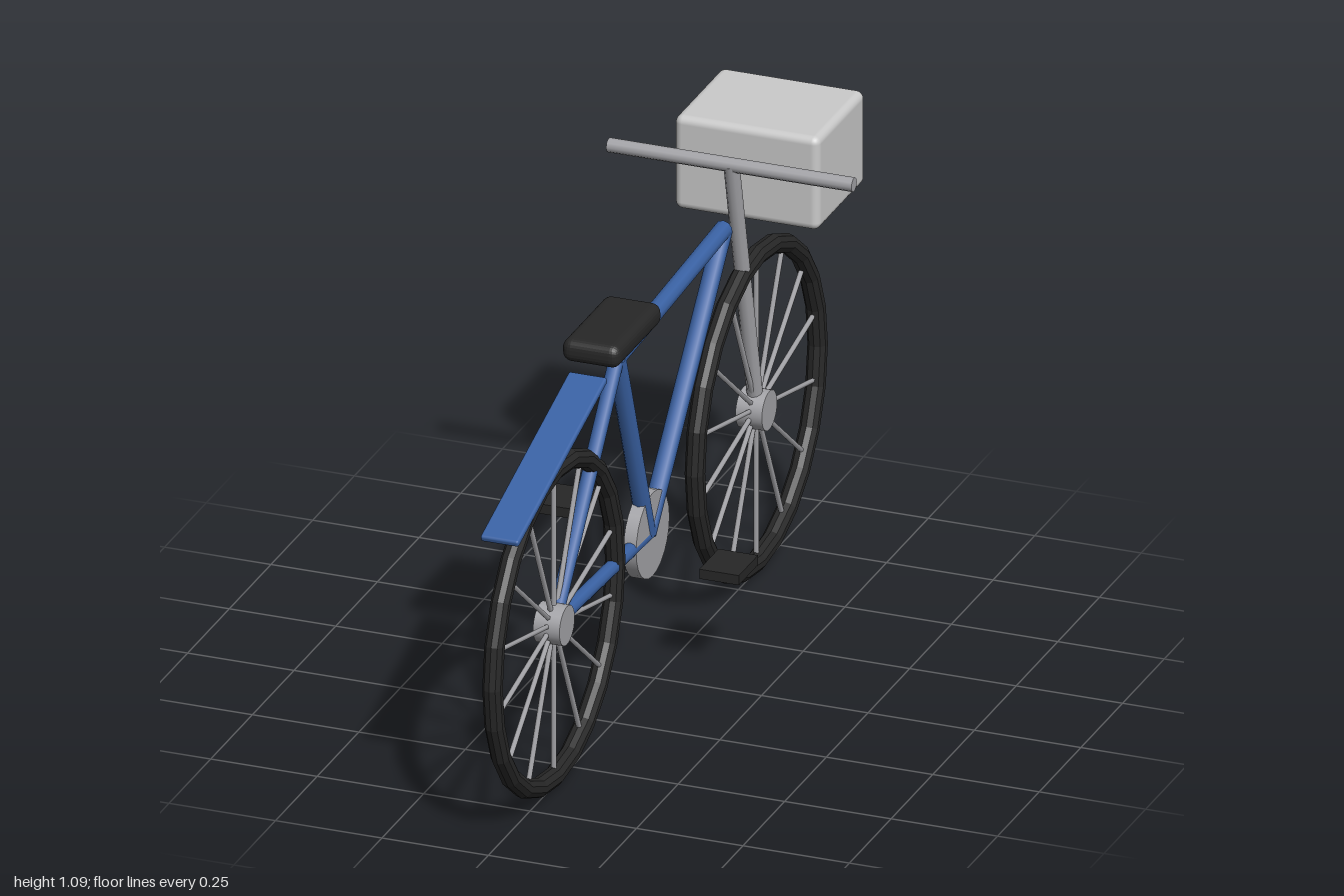
import * as THREE from 'three';
import { RoundedBoxGeometry } from 'three/addons/geometries/RoundedBoxGeometry.js';

export function createModel() {
  const bike = new THREE.Group();
  bike.name = 'bicycle';

  const material = (name, color, flatShading = false) => {
    const m = new THREE.MeshStandardMaterial({ color, flatShading });
    m.name = name;
    return m;
  };
  const blue = material('frame blue', 0x3a62a4);
  const metal = material('metal grey', 0xa4a4a8);
  const black = material('rubber black', 0x272727, true);
  const pale = material('basket grey', 0xcacaca);

  const add = (name, geometry, mat, x = 0, y = 0, z = 0, parent = bike) => {
    const mesh = new THREE.Mesh(geometry, mat);
    mesh.name = name;
    mesh.position.set(x, y, z);
    parent.add(mesh);
    return mesh;
  };

  // Round bar between two points
  const bar = (name, a, b, radius, mat, parent = bike, sides = 10) => {
    const from = new THREE.Vector3(...a), to = new THREE.Vector3(...b);
    const dir = to.clone().sub(from);
    const mesh = add(name, new THREE.CylinderGeometry(radius, radius, dir.length(), sides), mat, 0, 0, 0, parent);
    mesh.position.copy(from).add(to).multiplyScalar(0.5);
    mesh.quaternion.setFromUnitVectors(new THREE.Vector3(0, 1, 0), dir.normalize());
    return mesh;
  };

  // Disc whose axle runs along x
  const disc = (name, radius, width, y, z, parent) => {
    const g = new THREE.CylinderGeometry(radius, radius, width, 24).rotateZ(Math.PI / 2);
    return add(name, g, metal, 0, y, z, parent);
  };

  // Wheels: tyre, hub and fourteen spokes
  const axleY = 0.395, axleZ = 0.607;
  const makeWheel = (name, z) => {
    const wheel = new THREE.Group();
    wheel.name = name;
    wheel.position.set(0, axleY, z);
    add('tyre', new THREE.TorusGeometry(0.368, 0.0225, 10, 24).rotateY(Math.PI / 2), black, 0, 0, 0, wheel);
    disc('hub', 0.046, 0.062, 0, 0, wheel);
    for (let i = 0; i < 14; i++) {
      const a = (i / 14) * Math.PI * 2;
      bar('spoke', [0, 0, 0], [0, Math.cos(a) * 0.36, Math.sin(a) * 0.36], 0.006, metal, wheel, 6);
    }
    bike.add(wheel);
  };
  makeWheel('saddleEndWheel', axleZ);
  makeWheel('basketEndWheel', -axleZ);

  // Frame tubes
  const seatNode = [0, 0.872, 0.23], headNode = [0, 0.91, -0.41];
  const crankNode = [0, 0.373, 0.05], axleNode = [0, axleY, axleZ];
  bar('topTube', seatNode, headNode, 0.021, blue);
  bar('seatTube', seatNode, crankNode, 0.021, blue);
  bar('downTube', crankNode, headNode, 0.021, blue);
  bar('seatStay', seatNode, axleNode, 0.017, blue);
  bar('chainStay', crankNode, axleNode, 0.017, blue);

  // Fork and handlebar
  bar('fork', [0, axleY, -axleZ], [0, 1.045, -0.458], 0.018, metal);
  bar('handlebar', [-0.288, 1.044, -0.458], [0.288, 1.044, -0.458], 0.0165, metal);

  // Chainring and pedals
  disc('chainring', 0.1, 0.03, 0.375, 0.052);
  for (const s of [1, -1]) {
    add(s > 0 ? 'leftPedal' : 'rightPedal', new THREE.BoxGeometry(0.093, 0.023, 0.115), black,
      s * 0.138, 0.372 - s * 0.115, 0.049 - s * 0.138);
  }

  // Saddle
  add('saddle', new RoundedBoxGeometry(0.136, 0.054, 0.272, 3, 0.022), black, 0, 0.948, 0.26);

  // Sloping mudguard
  const guard = add('mudguard', new RoundedBoxGeometry(0.09, 0.016, 0.562, 2, 0.006), blue, 0, 0.815, 0.667);
  guard.rotation.x = Math.atan2(0.17, 0.535);

  // Basket
  add('basket', new RoundedBoxGeometry(0.34, 0.224, 0.284, 3, 0.018), pale, 0, 0.984, -0.687);

  return bike;
}
